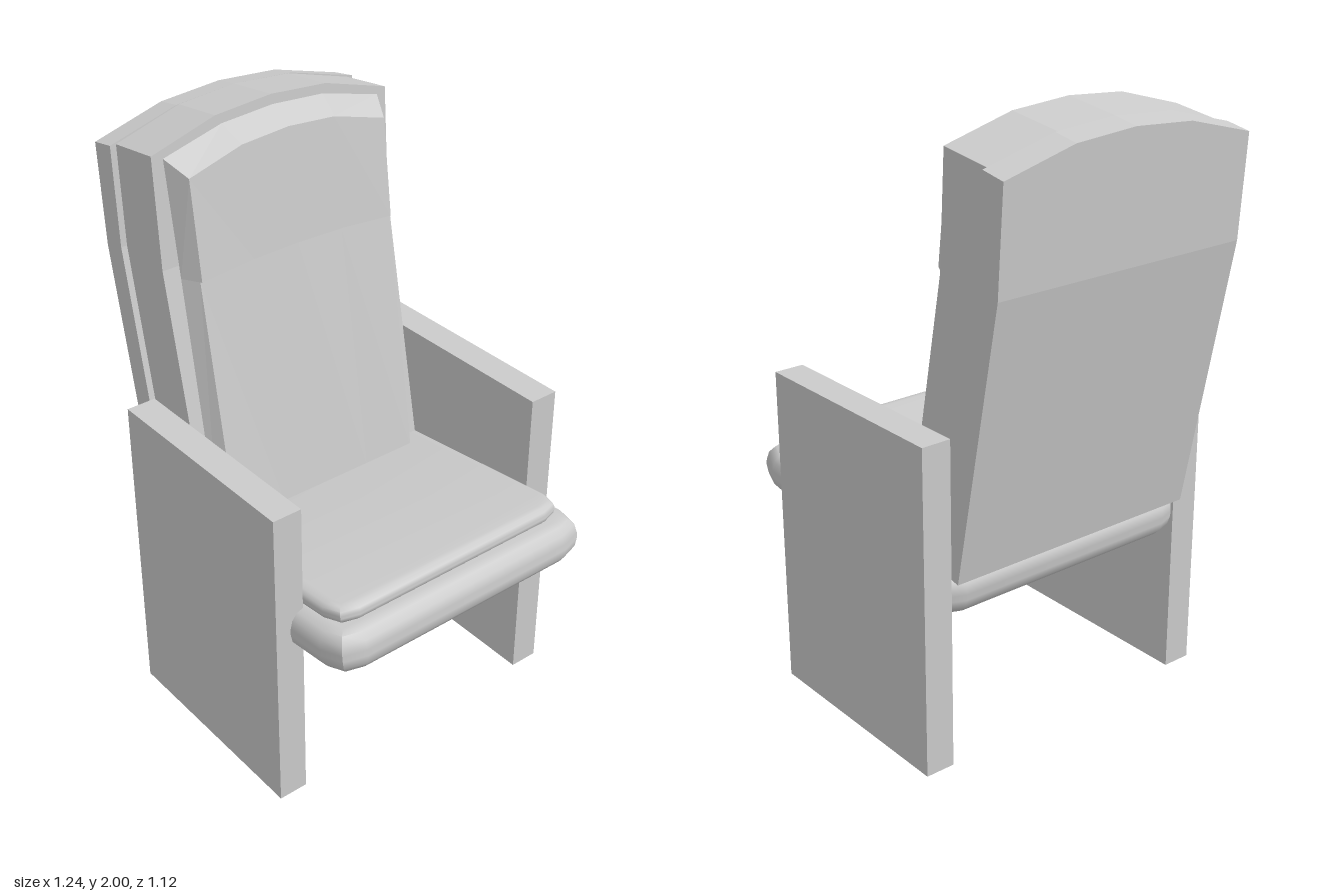
import * as THREE from 'three';
import { toCreasedNormals } from 'three/addons/utils/BufferGeometryUtils.js';

const flat = () => new THREE.MeshStandardMaterial({ color: 0xcccccc, flatShading: true });
const smooth = () => new THREE.MeshStandardMaterial({ color: 0xcccccc });

// Arched columns across the width: [fraction of half width, fraction of the drop]
const COLUMNS = [[-1, 1], [-0.47, 0.19], [0, 0], [0.47, 0.19], [1, 1]];

// Closed slab lofted upwards; each row is [backX, backY, frontX, frontY, drop at the sides]
function slab(name, rows, backHalf, frontHalf) {
  const pos = [];
  const point = (r, c, front) => {
    const [bx, by, fx, fy, drop] = rows[r];
    const [w, d] = COLUMNS[c];
    return [(front ? fx : bx) + 0.1 * d * drop, (front ? fy : by) - d * drop, w * (front ? frontHalf : backHalf)];
  };
  const quad = (a, b, c, d) => pos.push(...a, ...b, ...c, ...a, ...c, ...d);
  const top = rows.length - 1, last = COLUMNS.length - 1;
  for (let c = 0; c < last; c++) {
    for (let r = 0; r < top; r++) {
      quad(point(r, c, 1), point(r + 1, c, 1), point(r + 1, c + 1, 1), point(r, c + 1, 1));
      quad(point(r, c, 0), point(r, c + 1, 0), point(r + 1, c + 1, 0), point(r + 1, c, 0));
    }
    quad(point(top, c, 0), point(top, c + 1, 0), point(top, c + 1, 1), point(top, c, 1));
    quad(point(0, c, 0), point(0, c, 1), point(0, c + 1, 1), point(0, c + 1, 0));
  }
  for (let r = 0; r < top; r++) {
    quad(point(r, 0, 0), point(r + 1, 0, 0), point(r + 1, 0, 1), point(r, 0, 1));
    quad(point(r, last, 0), point(r, last, 1), point(r + 1, last, 1), point(r + 1, last, 0));
  }
  const geometry = new THREE.BufferGeometry();
  geometry.setAttribute('position', new THREE.Float32BufferAttribute(pos, 3));
  geometry.computeVertexNormals();
  const mesh = new THREE.Mesh(geometry, flat());
  mesh.name = name;
  return mesh;
}

// Rounded cushion lying flat, centred on its own mid height
function cushion(name, x0, x1, half, radius, height, bevel, bevelHeight) {
  const s = new THREE.Shape();
  s.moveTo(x0 + radius, -half);
  s.lineTo(x1 - radius, -half);
  s.quadraticCurveTo(x1, -half, x1, -half + radius);
  s.lineTo(x1, half - radius);
  s.quadraticCurveTo(x1, half, x1 - radius, half);
  s.lineTo(x0 + radius, half);
  s.quadraticCurveTo(x0, half, x0, half - radius);
  s.lineTo(x0, -half + radius);
  s.quadraticCurveTo(x0, -half, x0 + radius, -half);
  const depth = height - 2 * bevelHeight;
  const g = new THREE.ExtrudeGeometry(s, {
    depth, curveSegments: 2, bevelEnabled: true, bevelSegments: 3,
    bevelSize: bevel, bevelThickness: bevelHeight, bevelOffset: -bevel,
  });
  g.translate(0, 0, -depth / 2);
  g.rotateX(-Math.PI / 2);
  const mesh = new THREE.Mesh(toCreasedNormals(g, 0.7), smooth());
  mesh.name = name;
  return mesh;
}

export function createModel() {
  const chair = new THREE.Group();
  chair.name = 'chair';

  // Side panels that serve as legs and armrests
  for (const side of [-1, 1]) {
    const panel = new THREE.Mesh(new THREE.BoxGeometry(0.76, 1.09, 0.1), flat());
    panel.position.set(0, 0.545, side * 0.508);
    panel.name = side > 0 ? 'leftSidePanel' : 'rightSidePanel';
    chair.add(panel);
  }

  // Backrest: rear shell, main cushion, then the raised front padding
  const back = new THREE.Group();
  back.name = 'backrest';
  back.add(
    slab('backShell', [
      [-0.41, 0.635, -0.33, 0.65, 0],
      [-0.59, 1.55, -0.51, 1.57, 0],
      [-0.62, 1.96, -0.535, 1.975, 0.08],
    ], 0.458, 0.458),
    slab('backCushion', [
      [-0.33, 0.65, -0.14, 0.68, 0],
      [-0.51, 1.57, -0.315, 1.56, 0],
      [-0.535, 1.975, -0.345, 2.0, 0.08],
    ], 0.437, 0.437),
    slab('lumbarPad', [
      [-0.14, 0.7, -0.088, 0.72, 0],
      [-0.275, 1.56, -0.226, 1.56, 0.02],
    ], 0.4, 0.365),
    slab('headPad', [
      [-0.275, 1.56, -0.215, 1.56, 0.02],
      [-0.338, 1.97, -0.26, 1.925, 0.065],
    ], 0.4, 0.365),
  );
  chair.add(back);

  // Seat tilted up towards the front
  const seat = new THREE.Group();
  seat.name = 'seat';
  seat.position.y = 0.613;
  seat.rotation.z = 0.12;
  const base = cushion('seatCushion', -0.39, 0.625, 0.505, 0.1, 0.14, 0.05, 0.06);
  const pad = cushion('seatPad', -0.31, 0.566, 0.456, 0.08, 0.06, 0.03, 0.026);
  pad.position.y = 0.097;
  seat.add(base, pad);
  chair.add(seat);

  return chair;
}
